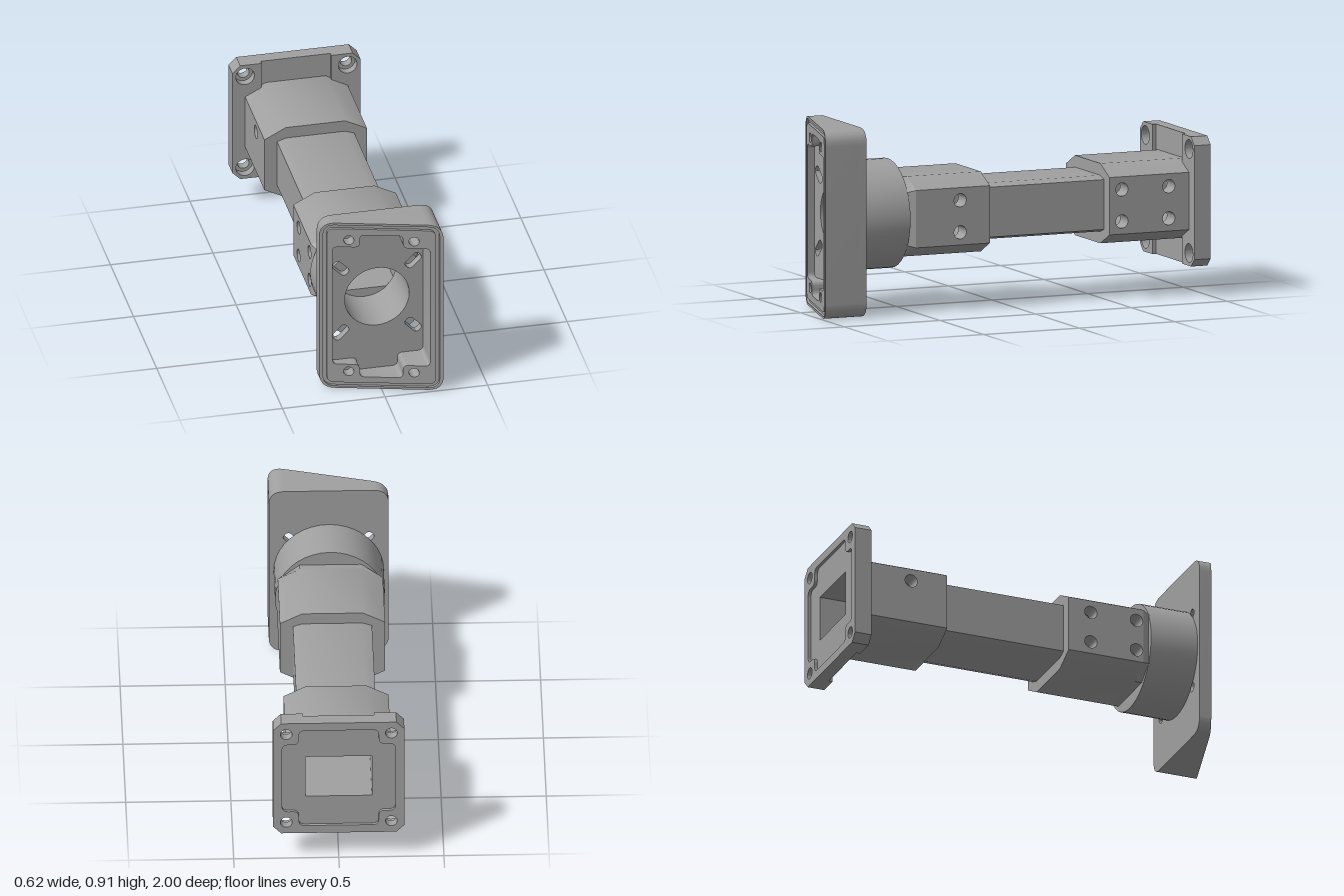
import * as THREE from 'three';
import { toCreasedNormals } from 'three/addons/utils/BufferGeometryUtils.js';

const metal = new THREE.MeshStandardMaterial({ color: 0xa0a0a0 });
metal.name = 'grey metal';

// Closed outline from corner points, each corner rounded by r
function poly(pts, r = 0) {
  const s = new THREE.Shape();
  const n = pts.length;
  const v = pts.map(p => new THREE.Vector2(p[0], p[1]));
  for (let i = 0; i < n; i++) {
    const c = v[i];
    const a = c.clone().add(v[(i + n - 1) % n].clone().sub(c).setLength(r));
    const b = c.clone().add(v[(i + 1) % n].clone().sub(c).setLength(r));
    if (i === 0) s.moveTo(a.x, a.y); else s.lineTo(a.x, a.y);
    if (r > 0) s.quadraticCurveTo(c.x, c.y, b.x, b.y);
  }
  s.closePath();
  return s;
}
const rect = (w, h, r) => poly([[w, -h], [w, h], [-w, h], [-w, -h]], r);
const chamfered = (w, h, cx, cy) => poly([[w, cy - h], [w, h - cy], [w - cx, h], [cx - w, h],
  [-w, h - cy], [-w, cy - h], [cx - w, -h], [w - cx, -h]]);
const cross = (w1, h1, w2, h2, r) => poly([[w1, -h1], [w1, h1], [w2, h1], [w2, h2], [-w2, h2], [-w2, h1],
  [-w1, h1], [-w1, -h1], [-w2, -h1], [-w2, -h2], [w2, -h2], [w2, -h1]], r);
function circle(x, y, r) {
  const p = new THREE.Shape();
  p.absarc(x, y, r, 0, Math.PI * 2);
  return p;
}
const corners = [[1, 1], [-1, 1], [-1, -1], [1, -1]];
const fourHoles = (x, y, r) => corners.map(([sx, sy]) => circle(sx * x, sy * y, r));

// Outline with holes, extruded from z0 to z1
function slab(shape, holes, z0, z1) {
  shape.holes.push(...holes);
  const g = new THREE.ExtrudeGeometry(shape, { depth: z1 - z0, bevelEnabled: false, curveSegments: 20 });
  return g.translate(0, 0, z0);
}

// Move vertices by a rule
function warp(g, rule) {
  const p = g.attributes.position;
  const v = new THREE.Vector3();
  for (let i = 0; i < p.count; i++) {
    rule(v.fromBufferAttribute(p, i));
    p.setXYZ(i, v.x, v.y, v.z);
  }
  return g;
}

export function createModel() {
  const model = new THREE.Group();
  model.name = 'waveguideAdapter';
  const body = new THREE.Group();
  body.name = 'body';
  body.position.y = 0.4535;
  model.add(body);

  const add = (name, g) => {
    g.computeVertexNormals();
    const m = new THREE.Mesh(toCreasedNormals(g, 0.5), metal);
    m.name = name;
    body.add(m);
  };

  const BW = 0.158, BH = 0.112; // bore half size
  const bore = () => rect(BW, BH);
  const slope = x => 0.9225 + 0.272 * x;

  // Front plate: floor with round bore and diagonal slots
  const outline = () => rect(0.285, 0.4535, 0.075);
  const slots = corners.map(([sx, sy]) => poly([[0.161, 0.129], [0.224, 0.192], [0.192, 0.224], [0.129, 0.161]]
    .map(([x, y]) => [x * sx, y * sy]), 0.021));
  add('plateFloor', slab(outline(), [circle(0, 0, 0.157), ...slots], 0.785, 0.825));

  // Sloped plate wall around the pocket, with a groove between rim and land
  const pocket = () => cross(0.225, 0.3225, 0.1, 0.39, 0.025);
  const screws = () => fourHoles(0.15, 0.361, 0.024);
  add('plateWall', warp(slab(outline(), [pocket(), ...screws()], 0.825, 1),
    v => { if (v.z > 0.9) v.z = slope(v.x) - 0.014; }));
  const sheared = g => warp(g, v => { v.z += slope(v.x); });
  add('plateRim', sheared(slab(outline(), [rect(0.268, 0.442, 0.055)], -0.014, 0)));
  add('plateLand', sheared(slab(rect(0.25, 0.422, 0.035), [pocket(), ...screws()], -0.014, 0)));

  // Round neck behind the plate
  add('roundNeck', slab(circle(0, 0, 0.262), [circle(0, 0, 0.157)], 0.545, 0.785));

  // Middle tube
  add('middleTube', slab(chamfered(0.188, 0.135, 0.045, 0.015), [bore()], -0.5, 0.125));

  // Collars: chamfered caps above and below, side walls with screw holes
  const collar = (name, z0, z1, leftHoles, rightHoles) => {
    for (const s of [1, -1]) {
      const cap = poly([[-0.25, BH], [0.25, BH], [0.25, 0.138], [0.145, 0.192], [-0.145, 0.192], [-0.25, 0.138]]
        .map(([x, y]) => [x, y * s]));
      add(name + 'Cap', slab(cap, [], z0, z1));
      const wall = poly([[-z1, -BH], [-z0, -BH], [-z0, BH], [-z1, BH]]);
      const holes = (s > 0 ? leftHoles : rightHoles).map(([z, y]) => circle(-z, y, 0.032));
      const g = slab(wall, holes, 0, 0.25 - BW).rotateY(Math.PI / 2);
      add(name + 'Side', g.translate(s > 0 ? BW : -0.25, 0, 0));
    }
  };
  const pairs = (...zs) => zs.flatMap(z => [[z, 0.077], [z, -0.077]]);
  collar('frontCollar', 0.125, 0.51, pairs(0.28), pairs(0.24, 0.475));
  collar('backCollar', -0.935, -0.5, pairs(-0.565, -0.81), [[-0.685, 0.077]]);

  // Corners of the front collar taper into the round neck
  add('collarTaper', warp(slab(chamfered(0.25, 0.192, 0.105, 0.054), [bore()], 0.51, 0.55), v => {
    const r = Math.hypot(v.x, v.y);
    if (v.z > 0.53 && r > 0.262) { v.x *= 0.262 / r; v.y *= 0.262 / r; }
  }));

  // Back flange: rim around a shallow recess, panel, counterbores, front ears
  const F = 0.312, H = 0.25;
  const flange = () => chamfered(F, F, 0.038, 0.038);
  add('flangeRim', slab(flange(), [cross(0.27, 0.19, 0.19, 0.27, 0.03), ...fourHoles(H, H, 0.028)], -1, -0.985));
  add('flangePanel', slab(flange(), [bore(), ...fourHoles(H, H, 0.028)], -0.985, -0.955));
  add('flangeBody', slab(flange(), [bore(), ...fourHoles(H, H, 0.045)], -0.955, -0.935));
  for (const s of [1, -1]) {
    const ear = poly([[0.17, -F], [0.274, -F], [F, -0.274], [F, 0.274], [0.274, F], [0.17, F]]
      .map(([x, y]) => [x * s, y]));
    add('flangeEar', slab(ear, [circle(H * s, H, 0.045), circle(H * s, -H, 0.045)], -0.935, -0.915));
  }

  return model;
}
